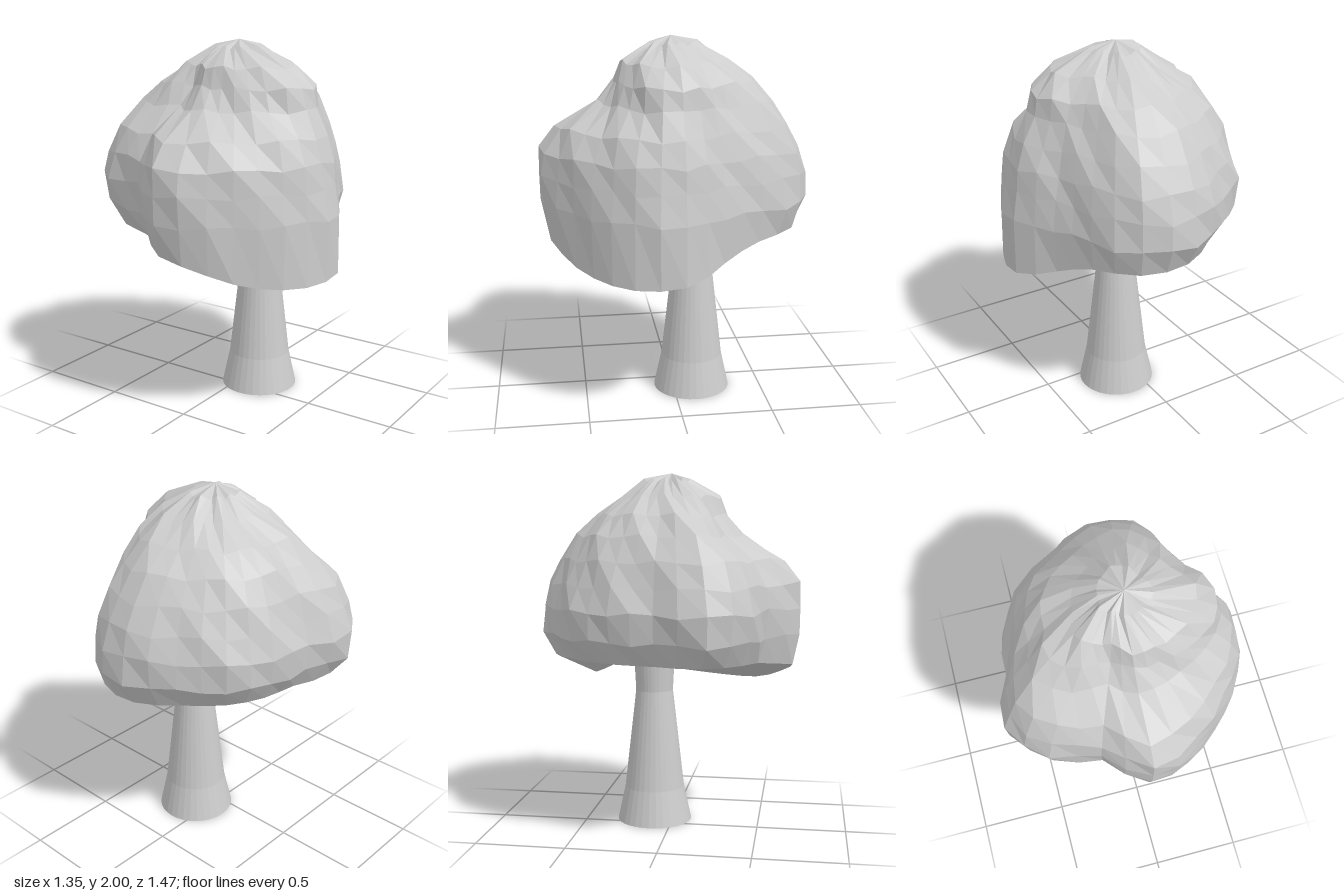
import * as THREE from 'three';

// Smooth closed curve through a ring of values, t in 0..1
function sampleRing(v, t) {
  const n = v.length, f = t * n, i = Math.floor(f), u = f - i;
  const [a, b, c, d] = [-1, 0, 1, 2].map((k) => v[(i + k + n) % n]);
  return b + 0.5 * u * (c - a + u * (2 * a - 5 * b + 4 * c - d + u * (3 * (b - c) + d - a)));
}

// Widest radius and rim height of the crown, starting at +x and turning towards +z
const outline = [.67, .68, .66, .69, .73, .6, .69, .74, .62, .63, .65, .66, .74, .74, .62, .58];
const rim = [.8, .8, .95, 1, 1, 1, .98, .95];

// Fraction of the widest radius at each height: right, front, left and back of the ring
const sections = [
  [1.96, [.25, .15, .15, .20]],
  [1.87, [.57, .37, .36, .38]],
  [1.77, [.74, .42, .60, .57]],
  [1.66, [.77, .55, .74, .73]],
  [1.53, [.86, .86, .86, .85]],
  [1.40, [.92, .98, .93, .94]],
  [1.27, [.95, 1, 1, .99]],
  [1.12, [.99, .99, .97, 1]],
];

function crownGeometry(sides = 32) {
  const top = new THREE.Vector3(0.03, 2, 0);
  const bottom = new THREE.Vector3(0.1, 1.04, -0.11);
  const makeRing = (radius, height) => Array.from({ length: sides }, (_, j) => {
    const t = j / sides, a = t * Math.PI * 2, r = sampleRing(outline, t) * radius(t, j);
    return new THREE.Vector3(Math.cos(a) * r, height(t, j), Math.sin(a) * r);
  });

  // Upper rings, with a slight regular unevenness between facets
  const rings = sections.map(([y, fractions], k) => makeRing(
    (t, j) => sampleRing(fractions, t) * (1 + 0.012 * Math.sin(j * 2.4 + k * 1.7)),
    (t, j) => y + 0.012 * Math.sin(j * 1.9 + k * 2.3)));

  // Drooping rim, then the hollow underside with a low bulge at the back left
  const bulge = (t) => 0.1 * Math.exp(-(((t - 0.7) / 0.08) ** 2));
  rings.push(makeRing((t) => 0.92 + 0.07 * Math.cos((t - 0.04) * Math.PI * 2), (t) => sampleRing(rim, t)));
  rings.push(makeRing((t) => 0.55 + bulge(t), (t) => 0.5 * sampleRing(rim, t) + 0.51 - bulge(t)));

  const tris = [];
  const last = rings[rings.length - 1];
  for (let j = 0; j < sides; j++) {
    const n = (j + 1) % sides;
    tris.push(top, rings[0][n], rings[0][j]);
    for (let k = 0; k < rings.length - 1; k++) {
      const u = rings[k], l = rings[k + 1];
      tris.push(u[j], u[n], l[j], u[n], l[n], l[j]);
    }
    tris.push(last[j], last[n], bottom);
  }
  const g = new THREE.BufferGeometry().setFromPoints(tris);
  g.computeVertexNormals(); // separate corners give flat facets
  return g;
}

// Flared trunk with a closed base
function trunkGeometry() {
  const profile = [[0, 0], [.215, 0], [.172, .2], [.14, .48], [.107, .77], [.122, 1.06], [0, 1.06]];
  const g = new THREE.LatheGeometry(profile.map(([r, y]) => new THREE.Vector2(r, y)), 32).toNonIndexed();
  g.computeVertexNormals();
  return g;
}

export function createModel() {
  const grey = new THREE.MeshStandardMaterial({ color: 0xcccccc });
  grey.name = 'light grey';

  const trunk = new THREE.Mesh(trunkGeometry(), grey);
  trunk.name = 'trunk';
  trunk.position.set(0.1, 0, -0.11);

  const crown = new THREE.Mesh(crownGeometry(), grey);
  crown.name = 'crown';

  const tree = new THREE.Group();
  tree.name = 'tree';
  tree.add(trunk, crown);
  return tree;
}
